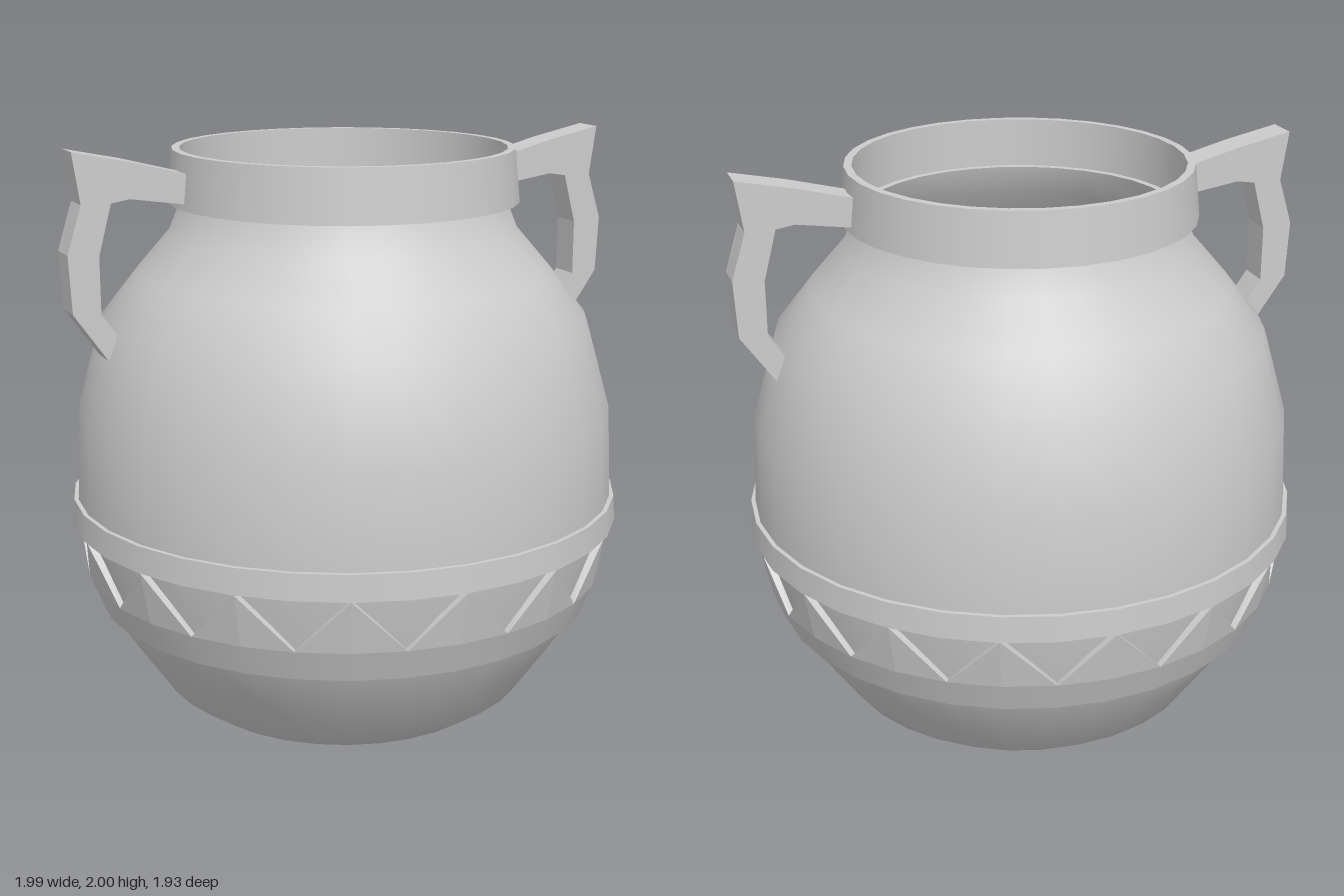
import * as THREE from 'three';

const SIDES = 32;
const V = (r, y) => new THREE.Vector2(r, y);

export function createModel() {
  const group = new THREE.Group();
  const mat = new THREE.MeshStandardMaterial({ color: 0xcccccc });
  const matDouble = new THREE.MeshStandardMaterial({ color: 0xcccccc, side: THREE.DoubleSide });

  function add(name, geometry, material = mat) {
    const mesh = new THREE.Mesh(geometry, material);
    mesh.name = name;
    group.add(mesh);
    return mesh;
  }

  // Smoothly turned surface from [radius, height] pairs
  const turned = (name, pts) =>
    add(name, new THREE.LatheGeometry(pts.map(p => V(...p)), SIDES), matDouble);

  // Ring with sharp edges: every profile side gets its own lathe
  function ring(name, pts) {
    const part = new THREE.Group();
    part.name = name;
    pts.forEach((p, i) => {
      const q = pts[(i + 1) % pts.length];
      part.add(new THREE.Mesh(new THREE.LatheGeometry([V(...p), V(...q)], SIDES), matDouble));
    });
    group.add(part);
  }

  // Jar wall, inside and out
  turned('base', [[0, 0], [0.55, 0]]);
  turned('lowerBody', [[0.55, 0], [0.65, 0.07], [0.76, 0.23], [0.86, 0.38], [0.895, 0.49], [0.93, 0.68]]);
  turned('upperBody', [[0.93, 0.68], [0.945, 0.77], [0.93, 1.09], [0.845, 1.39],
    [0.72, 1.55], [0.6, 1.69], [0.56, 1.79]]);
  turned('neckLedge', [[0.565, 1.8], [0.535, 1.8]]);
  turned('innerWall', [[0.535, 1.8], [0.57, 1.69], [0.69, 1.54], [0.81, 1.38], [0.895, 1.08],
    [0.905, 0.75], [0.83, 0.39], [0.63, 0.1], [0.53, 0.04], [0, 0.04]]);

  // Collar and bands
  ring('collar', [[0.605, 1.79], [0.587, 1.97], [0.56, 1.97], [0.56, 1.79]]);
  ring('upperBand', [[0.92, 0.68], [0.965, 0.68], [0.96, 0.77], [0.92, 0.77]]);
  ring('lowerBand', [[0.84, 0.38], [0.875, 0.38], [0.917, 0.49], [0.87, 0.49]]);

  // Raised triangles standing on the lower band
  const step = Math.PI * 2 / 16;
  const at = (r, y, a) => [r * Math.sin(a), y, r * Math.cos(a)];
  const pos = [];
  for (let k = 0; k < 16; k++) {
    const a = k * step;
    const tip = at(0.955, 0.675, a), tipIn = at(0.91, 0.675, a);
    const mid = at(0.917, 0.49, a);
    const l = at(0.917, 0.49, a - step / 2), r = at(0.917, 0.49, a + step / 2);
    const lIn = at(0.87, 0.49, a - step / 2), rIn = at(0.87, 0.49, a + step / 2);
    pos.push(...tip, ...l, ...mid, ...tip, ...mid, ...r);
    pos.push(...tip, ...tipIn, ...l, ...tipIn, ...lIn, ...l);
    pos.push(...tip, ...r, ...tipIn, ...tipIn, ...r, ...rIn);
  }
  const teeth = new THREE.BufferGeometry();
  teeth.setAttribute('position', new THREE.Float32BufferAttribute(pos, 3));
  teeth.computeVertexNormals();
  add('zigzagTriangles', teeth, matDouble);

  // Handles: one angular outline, turned round for the other side
  const outline = [[0.585, 1.91], [0.585, 1.81], [0.78, 1.84], [0.845, 1.83], [0.89, 1.66],
    [0.89, 1.47], [0.835, 1.39], [0.87, 1.31], [0.985, 1.475], [0.995, 1.67],
    [0.945, 1.83], [0.97, 2.0], [0.78, 1.96]].map(p => V(...p));
  const handle = new THREE.ExtrudeGeometry(new THREE.Shape(outline), { depth: 0.114, bevelEnabled: false });
  handle.translate(0, 0, -0.057);
  add('leftHandle', handle);
  add('rightHandle', handle).rotation.y = Math.PI;

  return group;
}
